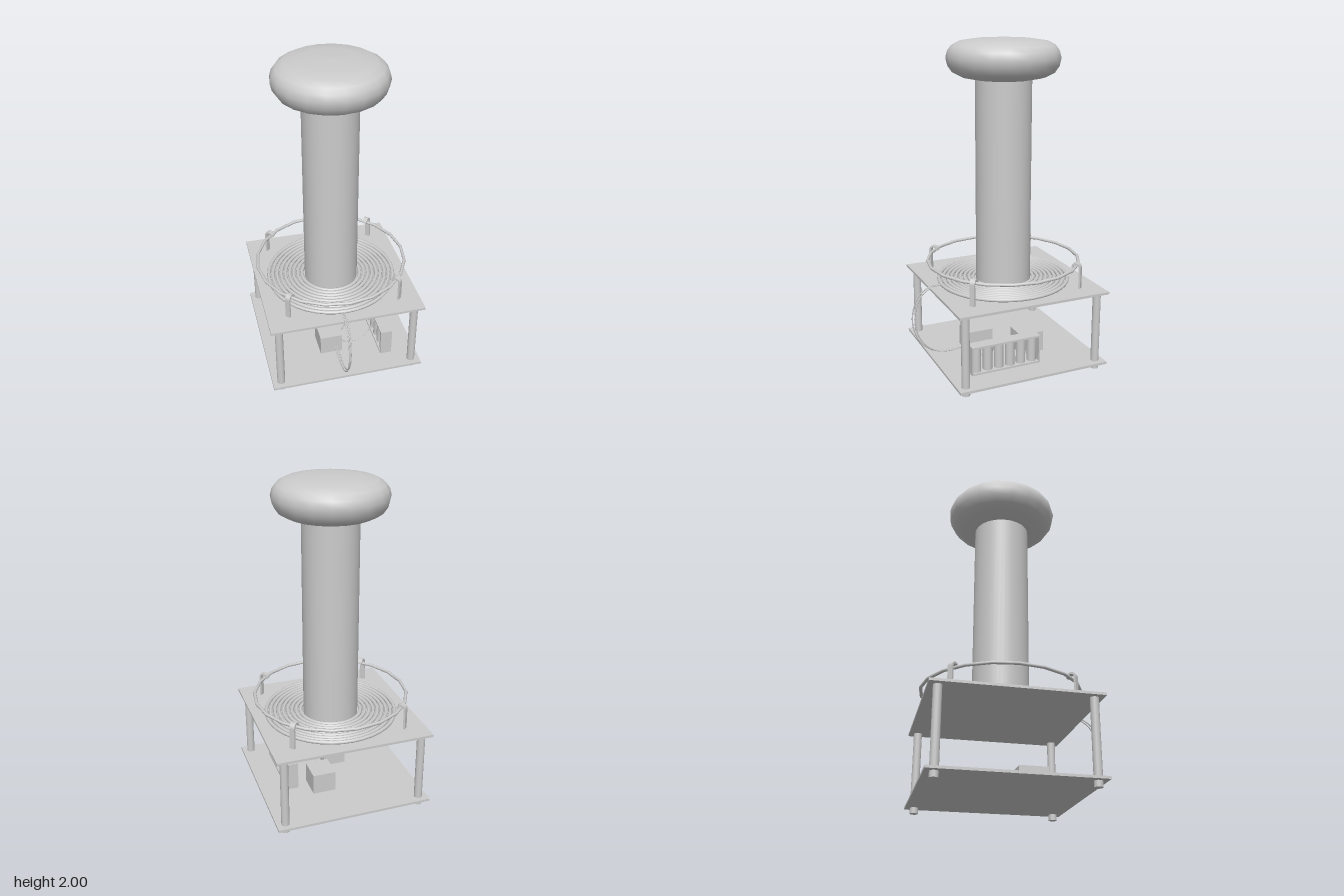
import * as THREE from 'three';

const mat = new THREE.MeshStandardMaterial({ color: 0xcccccc });

export function createModel() {
  const root = new THREE.Group();
  const rig = new THREE.Group();
  rig.name = 'coilRig';
  rig.position.z = -0.06; // the wire loop sticks out in front, so the rig sits back
  root.add(rig);

  const add = (name, geo, x = 0, y = 0, z = 0, parent = rig) => {
    const m = new THREE.Mesh(geo, mat);
    m.name = name;
    m.position.set(x, y, z);
    parent.add(m);
    return m;
  };
  // box given by its minimum and maximum corners
  const block = (name, a, b, parent = rig) => add(name,
    new THREE.BoxGeometry(b[0] - a[0], b[1] - a[1], b[2] - a[2]),
    (a[0] + b[0]) / 2, (a[1] + b[1]) / 2, (a[2] + b[2]) / 2, parent);
  const ring = (name, r, tube, y, sides) => {
    const g = new THREE.TorusGeometry(r, tube, 8, sides);
    g.rotateX(Math.PI / 2);
    return add(name, g, 0, y, 0);
  };
  const wire = (name, pts, r = 0.004) => {
    const curve = new THREE.CatmullRomCurve3(pts.map(p => new THREE.Vector3(...p)));
    return add(name, new THREE.TubeGeometry(curve, 32, r, 6), 0, 0, 0, root);
  };

  // Base and upper plates on four corner posts
  block('basePlate', [-0.485, 0.035, -0.483], [0.485, 0.05, 0.483]);
  block('upperPlate', [-0.485, 0.495, -0.483], [0.485, 0.51, 0.483]);
  for (const sx of [-1, 1]) for (const sz of [-1, 1]) {
    add('cornerPost', new THREE.CylinderGeometry(0.025, 0.025, 0.5, 16), sx * 0.43, 0.25, sz * 0.43);
  }

  // Tall secondary column
  add('column', new THREE.CylinderGeometry(0.17, 0.17, 1.28, 40), 0, 1.15, 0);

  // Flattened rounded cap
  const profile = [[0, 1.757], [0.17, 1.757], [0.25, 1.772], [0.305, 1.8], [0.332, 1.84], [0.342, 1.885],
    [0.332, 1.925], [0.31, 1.955], [0.265, 1.98], [0.16, 1.995], [0, 2]];
  add('topCap', new THREE.LatheGeometry(profile.map(p => new THREE.Vector2(...p)), 20));

  // Flat primary winding
  for (let i = 0; i < 9; i++) ring('primaryTurn', 0.405 - i * 0.027, 0.0115, 0.52, 40);

  // Guard ring carried by four hooked straps
  ring('guardRing', 0.474, 0.01, 0.64, 20);
  const hook = new THREE.Shape();
  hook.moveTo(0.507, 0.505);
  hook.lineTo(0.507, 0.64);
  hook.absarc(0.477, 0.64, 0.03, 0, Math.PI, false);
  hook.lineTo(0.459, 0.64);
  hook.absarc(0.477, 0.64, 0.018, Math.PI, 0, true);
  hook.lineTo(0.495, 0.505);
  const hookGeo = new THREE.ExtrudeGeometry(hook, { depth: 0.032, bevelEnabled: false, curveSegments: 8 });
  hookGeo.translate(0, 0, -0.016);
  for (let i = 0; i < 4; i++) {
    add('ringHook', hookGeo).rotation.y = Math.PI / 4 + i * Math.PI / 2;
  }

  // Electronics boxes on the base
  block('driverBox', [-0.13, 0.05, 0.02], [0.015, 0.18, 0.19], root);
  block('supplyBox', [0.035, 0.05, -0.26], [0.18, 0.18, -0.1], root);

  // Rack of upright cells
  const rack = new THREE.Group();
  rack.name = 'cellRack';
  root.add(rack);
  block('rackFloor', [0.25, 0.05, -0.163], [0.325, 0.062, 0.285], rack);
  block('rackTop', [0.25, 0.218, -0.163], [0.325, 0.23, 0.285], rack);
  for (const z of [-0.163, 0.277]) block('rackEnd', [0.25, 0.05, z], [0.325, 0.23, z + 0.008], rack);
  for (let i = 0; i < 6; i++) {
    add('cell', new THREE.CylinderGeometry(0.029, 0.029, 0.16, 16), 0.2875, 0.14, -0.122 + i * 0.0735, rack);
  }

  // Pair of leads looping from the winding down to the driver box
  for (const [x, d] of [[-0.031, 0], [-0.018, 0.012]]) {
    wire('coilLead', [[x, 0.52, 0.345], [x, 0.515, 0.41 - d], [x, 0.46, 0.495 - d], [x, 0.3, 0.536 - d],
      [x, 0.16, 0.49 - d], [x, 0.085, 0.4 - d], [x, 0.07, 0.29], [x, 0.09, 0.18]]);
  }
  // Links between the boxes and the rack
  wire('rackLead', [[0, 0.11, 0.13], [0.04, 0.07, 0.13], [0.13, 0.065, 0.13], [0.21, 0.11, 0.12], [0.26, 0.2, 0.11]]);
  wire('supplyLead', [[0, 0.11, 0.08], [0.05, 0.12, 0.06], [0.09, 0.11, -0.02], [0.1, 0.11, -0.11]]);

  return root;
}
